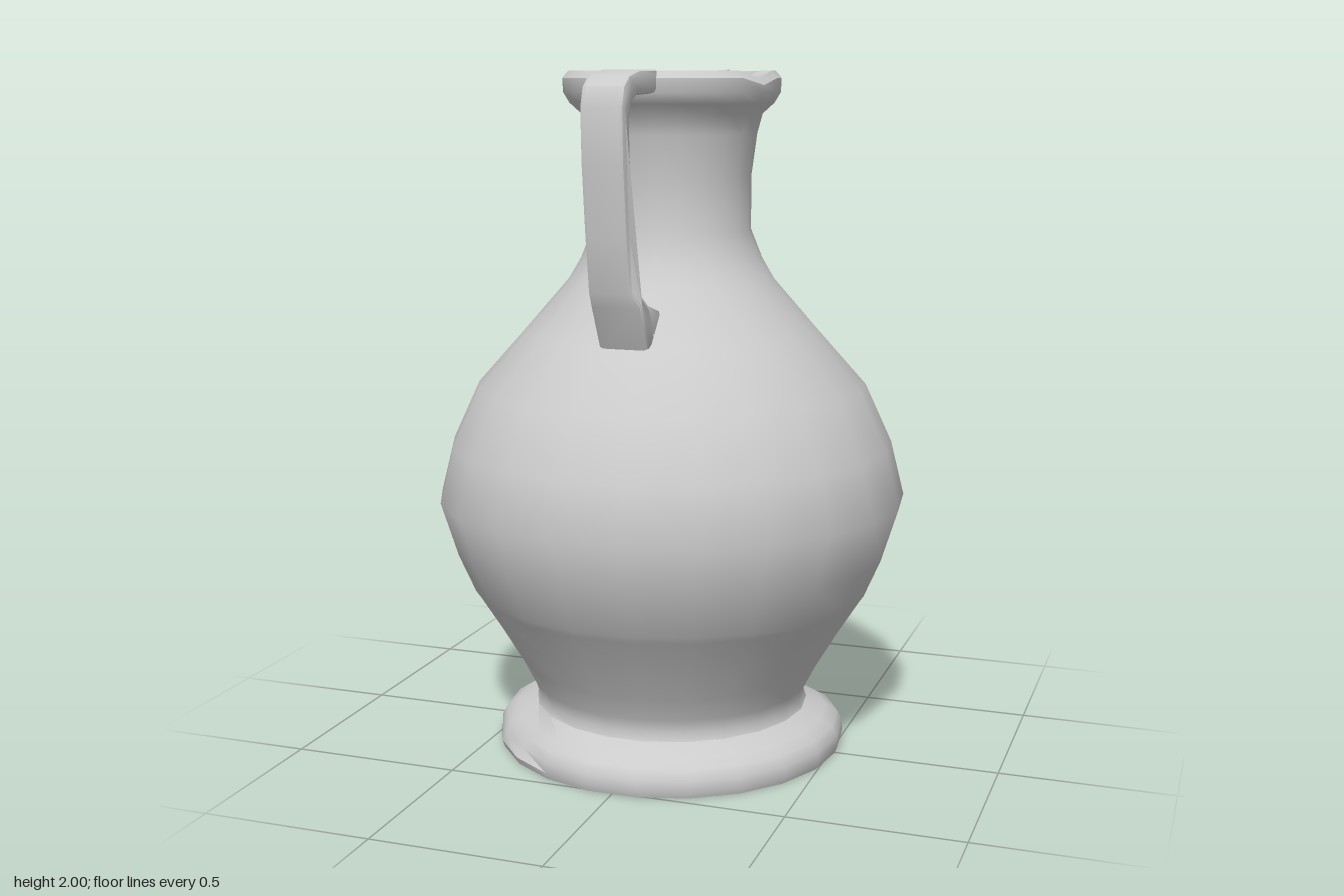
import * as THREE from 'three';
import { toCreasedNormals } from 'three/addons/utils/BufferGeometryUtils.js';
import { ConvexGeometry } from 'three/addons/geometries/ConvexGeometry.js';

const grey = new THREE.MeshStandardMaterial({ color: 0xcccccc });
const SIDES = 22;

function part(name, geometry, crease = 0.7) {
  const mesh = new THREE.Mesh(toCreasedNormals(geometry, crease), grey);
  mesh.name = name;
  return mesh;
}

// Revolve a profile of [radius, height] pairs, with a corner on the x axis
function turned(profile) {
  const points = profile.map(([r, y]) => new THREE.Vector2(r, y));
  return new THREE.LatheGeometry(points, SIDES, Math.PI / 2);
}

// Apply a rule to every vertex of a geometry
function reshape(geometry, rule) {
  const pos = geometry.attributes.position;
  const v = new THREE.Vector3();
  for (let i = 0; i < pos.count; i++) {
    v.fromBufferAttribute(pos, i);
    rule(v);
    pos.setXYZ(i, v.x, v.y, v.z);
  }
  return geometry;
}

// Closeness (0..1) of a vertex's bearing around the axis to a given bearing
function near(v, bearing, width) {
  const d = Math.atan2(v.z, v.x) - bearing;
  const wrapped = Math.atan2(Math.sin(d), Math.cos(d));
  return Math.max(0, 1 - Math.abs(wrapped) / width);
}

// Foot, belly, neck, lip and hollow inside as one turned wall
function vessel() {
  const outside = [
    [0, 0], [0.515, 0], [0.522, 0.02], [0.52, 0.05], [0.505, 0.08], [0.47, 0.1],
    [0.41, 0.125], [0.402, 0.15], [0.415, 0.19], [0.45, 0.26], [0.515, 0.37], [0.578, 0.47],
    [0.592, 0.49], [0.64, 0.6], [0.69, 0.76], [0.65, 0.92], [0.572, 1.09],
    [0.43, 1.25], [0.3, 1.4], [0.265, 1.46], [0.231, 1.545], [0.231, 1.7],
    [0.247, 1.82], [0.262, 1.875], [0.295, 1.905], [0.313, 1.935], [0.315, 1.975], [0.298, 1.995],
  ];
  const inside = [
    [0.262, 1.995], [0.243, 1.975], [0.235, 1.93], [0.205, 1.87], [0.178, 1.8], [0.162, 1.7],
    [0.162, 1.56], [0.24, 1.37], [0.5, 1.06], [0.61, 0.76], [0.52, 0.5], [0.36, 0.2], [0, 0.17],
  ];
  return reshape(turned([...outside, ...inside]), (v) => {
    const r = Math.hypot(v.x, v.z);
    // Worn patches on the foot
    if (r > 0.44 && v.y > 0.03 && v.y < 0.11) {
      const wear = near(v, Math.PI * 0.75, 0.3) + near(v, -Math.PI * 0.25, 0.3);
      const k = 1 - 0.06 * wear;
      v.set(v.x * k, v.y - 0.015 * wear, v.z * k);
    }
    // Nick in the lip
    if (r > 0.25 && v.y > 1.96) v.y -= 0.025 * near(v, 0.25, 0.16);
  });
}

// Strap handle: side outline given as [z, y], extruded across x
function handle() {
  const outline = [
    [0.27, 1.997], [0.42, 1.997], [0.5, 1.983], [0.54, 1.955], [0.558, 1.9], [0.552, 1.75],
    [0.53, 1.56], [0.508, 1.41], [0.49, 1.37], [0.43, 1.25], [0.36, 1.25], [0.32, 1.345],
    [0.42, 1.375], [0.452, 1.42], [0.472, 1.56], [0.495, 1.75], [0.502, 1.87], [0.486, 1.91],
    [0.44, 1.93], [0.27, 1.935],
  ];
  const shape = new THREE.Shape(outline.map(([z, y]) => new THREE.Vector2(z, y)));
  const bevel = 0.014;
  const geometry = new THREE.ExtrudeGeometry(shape, {
    depth: 0.124 - 2 * bevel, bevelThickness: bevel, bevelSize: bevel, bevelOffset: -bevel, bevelSegments: 2,
  });
  geometry.translate(0, 0, -0.062 + bevel).rotateY(-Math.PI / 2);
  // Lower end flares to one side where it meets the shoulder
  return reshape(geometry, (v) => {
    if (v.y < 1.39 && v.x > 0) v.x += 0.022;
  });
}

function chunk(corners) {
  return new ConvexGeometry(corners.map((c) => new THREE.Vector3(...c)));
}

// Jagged remains of a second handle, on the lip and on the shoulder
function brokenHandle() {
  const group = new THREE.Group();
  group.name = 'brokenHandle';
  const stubs = {
    lipStub: [
      [-0.062, 1.99, -0.27], [0.062, 1.99, -0.27], [-0.062, 1.935, -0.27], [0.062, 1.935, -0.27],
      [-0.06, 1.965, -0.36], [0.01, 1.985, -0.35], [0.062, 2, -0.355],
      [-0.06, 1.93, -0.34], [0.07, 1.945, -0.385], [0.03, 1.92, -0.37],
    ],
    shoulderStub: [
      [-0.062, 1.36, -0.3], [0.062, 1.36, -0.3], [-0.062, 1.27, -0.4], [0.06, 1.26, -0.4],
      [-0.066, 1.36, -0.38], [-0.06, 1.315, -0.435], [0, 1.395, -0.41],
      [0.05, 1.335, -0.46], [0, 1.33, -0.46], [0.08, 1.33, -0.41],
    ],
  };
  for (const [name, corners] of Object.entries(stubs)) group.add(part(name, chunk(corners), 0.1));
  return group;
}

export function createModel() {
  const jug = new THREE.Group();
  jug.name = 'jug';
  jug.add(part('vessel', vessel()), part('handle', handle()), brokenHandle());
  return jug;
}
